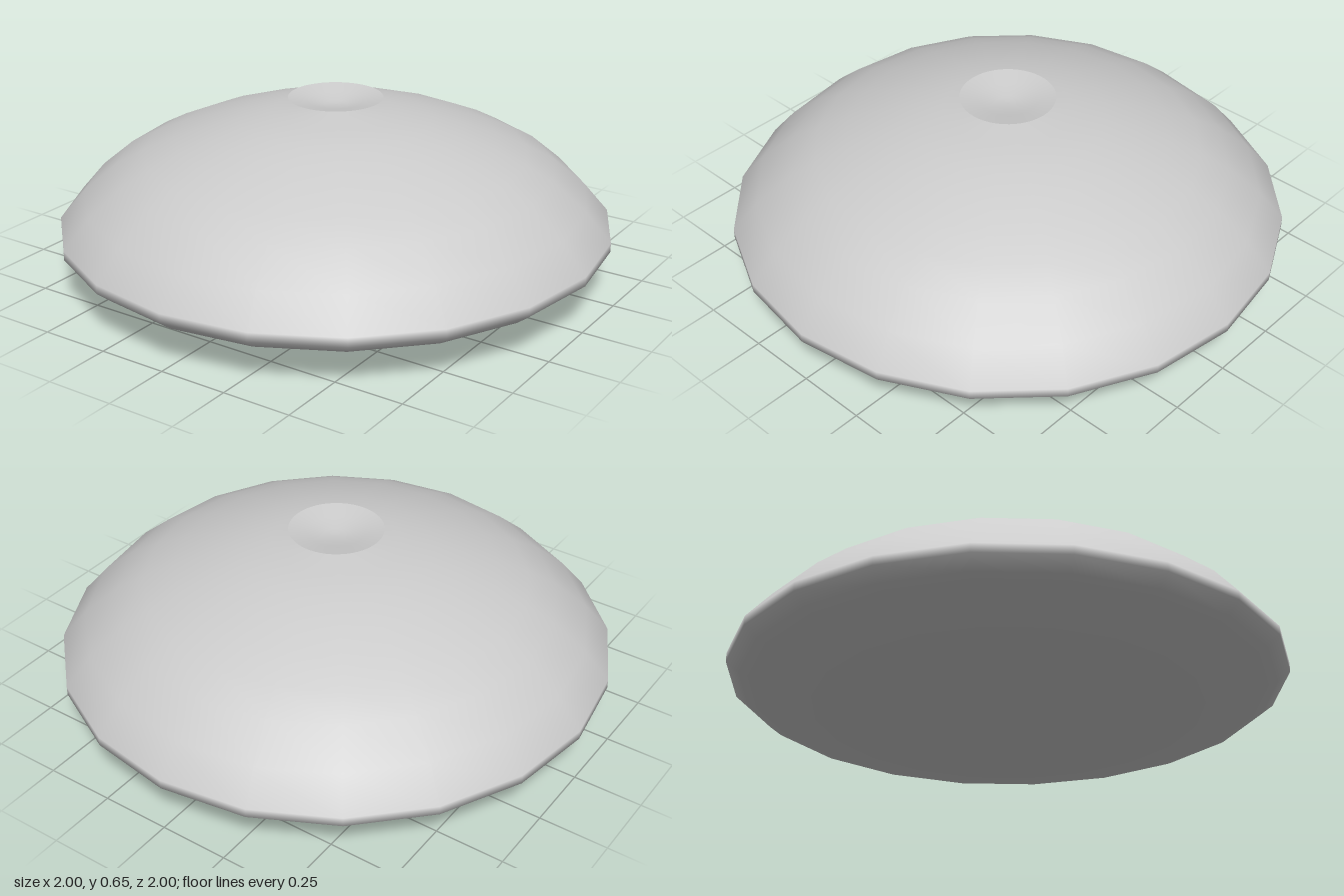
import * as THREE from 'three';

// Smooth-shaded solid of revolution from [radius, height] pairs, bottom to top.
function turned(name, profile, sides, side = THREE.FrontSide) {
  const points = profile.map(([r, y]) => new THREE.Vector2(r, y));
  const material = new THREE.MeshStandardMaterial({ color: 0xcccccc, side });
  const mesh = new THREE.Mesh(new THREE.LatheGeometry(points, sides), material);
  mesh.name = name;
  return mesh;
}

export function createModel() {
  const model = new THREE.Group();
  model.name = 'domedDish';

  // Shallow belly, narrow rim and domed top in one twenty-sided body
  model.add(turned('body', [
    [0, 0], [0.16, 0.007], [0.31, 0.02], [0.45, 0.032], [0.58, 0.048],
    [0.70, 0.068], [0.80, 0.09], [0.95, 0.132], [1, 0.172],
    [1, 0.205], [0.91, 0.31], [0.79, 0.41], [0.69, 0.463], [0.58, 0.51],
    [0.46, 0.55], [0.35, 0.58], [0.23, 0.602], [0.10, 0.613],
    [0.04, 0.624], [0, 0.626],
  ], 20));

  // Thin flared saucer standing on the peak of the dome
  model.add(turned('topSaucer', [
    [0, 0.627], [0.042, 0.628], [0.10, 0.641], [0.17, 0.655],
  ], 48, THREE.DoubleSide));

  return model;
}
